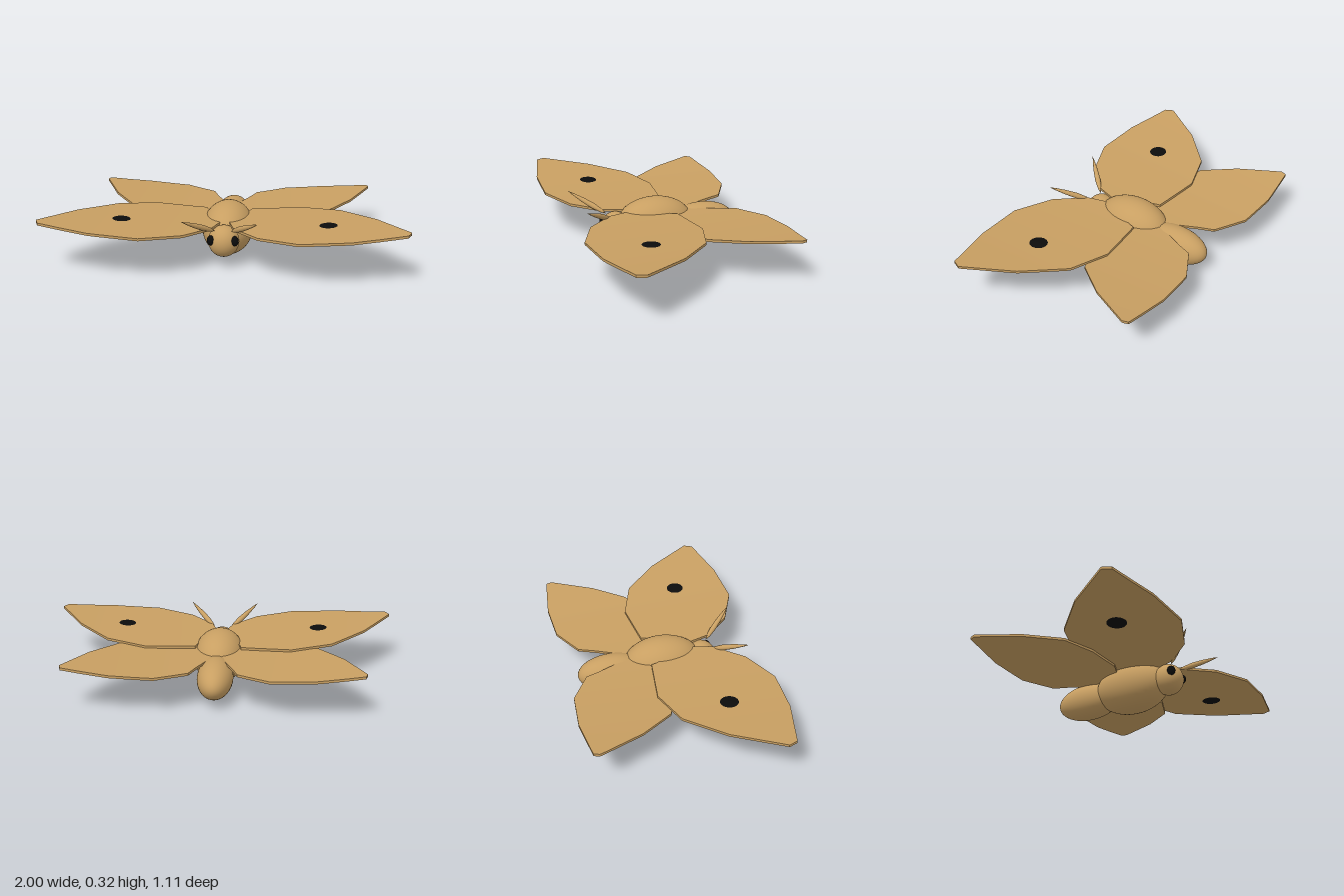
import * as THREE from 'three';
import { toCreasedNormals } from 'three/addons/utils/BufferGeometryUtils.js';

const tan = new THREE.MeshStandardMaterial({ color: 0xc89f62 });
tan.name = 'tan';
const black = new THREE.MeshStandardMaterial({ color: 0x0c0c0c });
black.name = 'black';

// Wing edges as [x, z] points running from root to tip
const FORE = {
  back: [[0.02, 0], [0.12, -0.03], [0.13, -0.07], [0.415, -0.105], [0.64, -0.03], [0.835, 0.165], [1, 0.42]],
  front: [[0.02, 0.18], [0.06, 0.31], [0.2, 0.46], [0.42, 0.555], [0.695, 0.54], [0.98, 0.47], [1, 0.425]],
  height: (x, z) => 0.235 + 0.05 * x * x + 0.02 * (z - 0.25),
};
const HIND = {
  back: [[0.03, -0.2], [0.05, -0.25], [0.1, -0.36], [0.13, -0.44], [0.305, -0.54], [0.54, -0.555], [0.8, -0.525], [0.81, -0.495]],
  front: [[0.03, -0.05], [0.2, 0.02], [0.4, 0], [0.57, -0.07], [0.7, -0.25], [0.81, -0.49]],
  height: (x) => 0.212 + 0.07 * x * x,
};

function edgeAt(points, x) {
  for (let i = 1; i < points.length; i++) {
    const [x0, z0] = points[i - 1], [x1, z1] = points[i];
    if (x <= x1) return z0 + (z1 - z0) * (x - x0) / (x1 - x0);
  }
  return points[points.length - 1][1];
}

// Loft of thin rectangular cross-sections from root to tip
function wingGeometry({ back, front, height }, side) {
  const half = 0.007;
  const stations = [...new Set([...back, ...front].map((p) => p[0]))].sort((a, b) => a - b);
  const pos = [], index = [];
  for (const x of stations) {
    const zb = edgeAt(back, x), zf = edgeAt(front, x);
    const yb = height(x, zb), yf = height(x, zf);
    pos.push(side * x, yb + half, zb, side * x, yf + half, zf);
    pos.push(side * x, yf - half, zf, side * x, yb - half, zb);
  }
  const quad = (a, b, c, d) => {
    if (side > 0) index.push(a, b, c, a, c, d);
    else index.push(a, c, b, a, d, c);
  };
  const n = stations.length;
  for (let i = 0; i < n - 1; i++) {
    for (let j = 0; j < 4; j++) {
      const k = (j + 1) % 4;
      quad(i * 4 + j, i * 4 + k, i * 4 + 4 + k, i * 4 + 4 + j);
    }
  }
  quad(3, 2, 1, 0);
  const t = (n - 1) * 4;
  quad(t, t + 1, t + 2, t + 3);
  const geo = new THREE.BufferGeometry();
  geo.setAttribute('position', new THREE.Float32BufferAttribute(pos, 3));
  geo.setIndex(index);
  return toCreasedNormals(geo, 0.5);
}

export function createModel() {
  const model = new THREE.Group();
  model.name = 'moth';

  const add = (name, geo, material, position = [0, 0, 0]) => {
    const mesh = new THREE.Mesh(geo, material);
    mesh.name = name;
    mesh.position.set(...position);
    model.add(mesh);
    return mesh;
  };
  const ellipsoid = (name, material, position, radii) =>
    add(name, new THREE.SphereGeometry(1, 40, 28).scale(...radii), material, position);

  // Body
  ellipsoid('thorax', tan, [0, 0.153, 0.022], [0.145, 0.149, 0.225]);
  ellipsoid('abdomen', tan, [0, 0.13, -0.27], [0.1, 0.105, 0.2]);
  ellipsoid('head', tan, [0, 0.152, 0.255], [0.086, 0.089, 0.085]);

  // Spindle profile shared by both antennae
  const spindle = [[0, 0], [0.01, 0.03], [0.016, 0.09], [0.013, 0.16], [0.006, 0.225], [0, 0.26]]
    .map(([r, y]) => new THREE.Vector2(r, y));

  for (const side of [1, -1]) {
    const label = side > 0 ? 'left' : 'right';
    add(label + 'Forewing', wingGeometry(FORE, side), tan);
    add(label + 'Hindwing', wingGeometry(HIND, side), tan);

    // Round spot showing on both faces of the forewing
    const spot = ellipsoid(label + 'WingSpot', black, [side * 0.57, 0.251, 0.25], [0.062, 0.013, 0.062]);
    spot.rotation.z = side * 0.057;

    ellipsoid(label + 'Eye', black, [side * 0.066, 0.17, 0.305], [0.021, 0.028, 0.024]);

    // Antenna leaning forward and outward
    const antenna = add(label + 'Antenna', new THREE.LatheGeometry(spindle, 16), tan, [side * 0.045, 0.222, 0.295]);
    const direction = new THREE.Vector3(side * 0.167, 0.113, 0.19).normalize();
    antenna.quaternion.setFromUnitVectors(new THREE.Vector3(0, 1, 0), direction);
  }
  return model;
}
